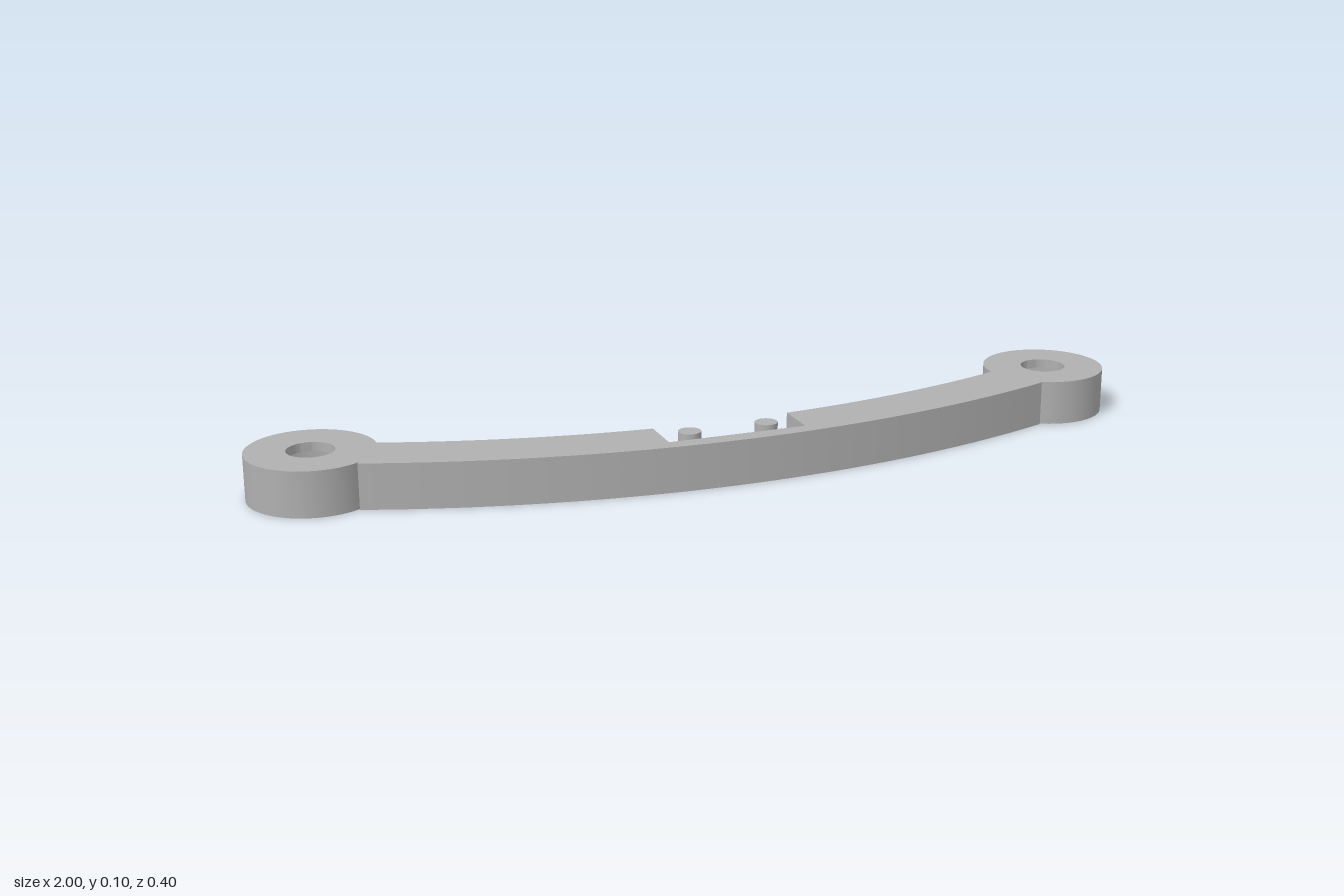
import * as THREE from 'three';
import { toCreasedNormals } from 'three/addons/utils/BufferGeometryUtils.js';

const HEIGHT = 0.1, CENTRE_Z = -2.1, R_OUT = 2.3, R_IN = 2.166;
const RING = { x: 0.862, z: -0.062, r: 0.138, bore: 0.12, hole: 0.051, lid: 0.08 };
const POCKET = { half: 0.155, z: 0.16, floor: 0.055 };
const GROOVE = { half: 0.019, z: 0.152, floor: 0.035 };

// Points along an arc of the bar, as (x, -z)
function arc(r, from, to, steps) {
  return Array.from({ length: steps + 1 }, (_, i) => {
    const a = from + (to - from) * i / steps;
    return new THREE.Vector2(r * Math.sin(a), -(CENTRE_Z + r * Math.cos(a)));
  });
}

// One layer of the bar, with an optional notch cut in from the back edge
function barLayer(y0, y1, notch) {
  const pts = arc(R_OUT, -0.3506, 0.3506, 64);
  if (notch) {
    const a = Math.asin(notch.half / R_IN);
    pts.push(...arc(R_IN, 0.342, a, 28),
      new THREE.Vector2(notch.half, -notch.z), new THREE.Vector2(-notch.half, -notch.z),
      ...arc(R_IN, -a, -0.342, 28));
  } else {
    pts.push(...arc(R_IN, 0.342, -0.342, 56));
  }
  const geo = new THREE.ExtrudeGeometry(new THREE.Shape(pts), { depth: y1 - y0, bevelEnabled: false });
  geo.rotateX(-Math.PI / 2).translate(0, y0, 0);
  return toCreasedNormals(geo, 0.5);
}

export function createModel() {
  const model = new THREE.Group();
  model.name = 'curvedBracket';
  const grey = new THREE.MeshStandardMaterial({ color: 0xb0b0b0 });
  grey.name = 'grey';

  function add(name, geo, x = 0, y = 0, z = 0) {
    const mesh = new THREE.Mesh(geo, grey);
    mesh.name = name;
    mesh.position.set(x, y, z);
    model.add(mesh);
  }

  // Curved bar: solid base, grooved layer, pocketed top
  add('barBase', barLayer(0, GROOVE.floor));
  add('barGrooveLayer', barLayer(GROOVE.floor, POCKET.floor, GROOVE));
  add('barPocketLayer', barLayer(POCKET.floor, HEIGHT, POCKET));

  // End cups: round, open below, with a hole through the lid
  const profile = [
    [RING.bore, 0], [RING.r, 0], [RING.r, HEIGHT], [RING.hole, HEIGHT],
    [RING.hole, RING.lid], [RING.bore, RING.lid], [RING.bore, 0],
  ].map(([r, y]) => new THREE.Vector2(r, y));
  const cup = toCreasedNormals(new THREE.LatheGeometry(profile, 64), 0.5);

  // Pegs standing on the pocket floor
  const pegHeight = HEIGHT - POCKET.floor;
  const peg = new THREE.CylinderGeometry(0.025, 0.025, pegHeight, 32);

  for (const [side, s] of [['left', 1], ['right', -1]]) {
    add(side + 'EndCup', cup, s * RING.x, 0, RING.z);
    add(side + 'Peg', peg, s * 0.088, POCKET.floor + pegHeight / 2, 0.104);
  }
  return model;
}
